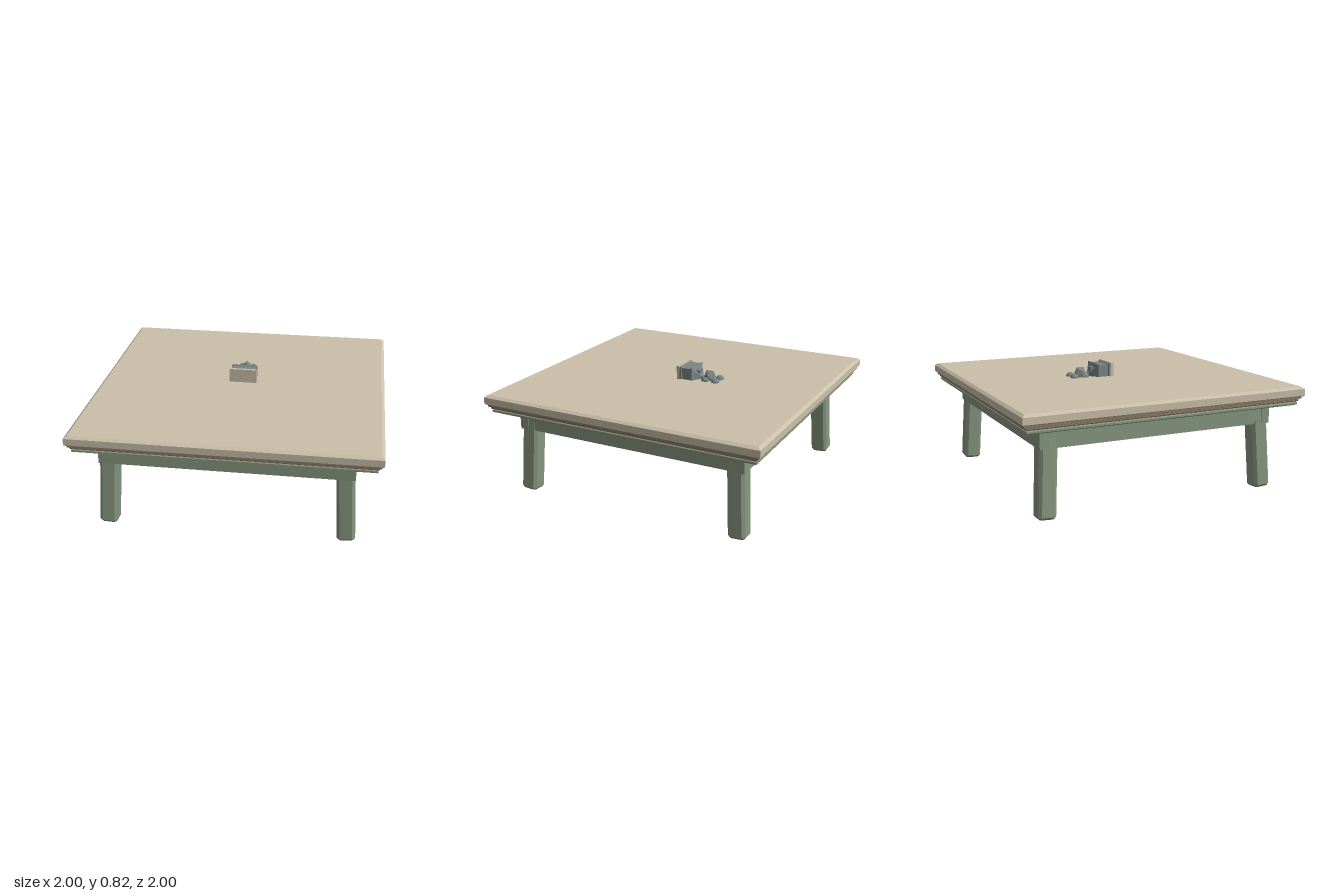
import * as THREE from 'three';

const mat = (name, color) => {
  const m = new THREE.MeshStandardMaterial({ color });
  m.name = name;
  return m;
};

// Faceted normals for crisp low-poly faces
function flat(geometry) {
  const g = geometry.index ? geometry.toNonIndexed() : geometry;
  g.computeVertexNormals();
  return g;
}

function add(parent, name, geometry, material, x = 0, y = 0, z = 0) {
  const mesh = new THREE.Mesh(flat(geometry), material);
  mesh.name = name;
  mesh.position.set(x, y, z);
  parent.add(mesh);
  return mesh;
}

// Square stack following a [half width, height] profile from bottom to top
function squareStack(profile) {
  const points = profile.map(([h, y]) => new THREE.Vector2(h * Math.SQRT2, y));
  return new THREE.LatheGeometry(points, 4, Math.PI / 4);
}

// Square leg with chamfered long edges and ends, standing on y = 0
function legGeometry(half, height) {
  const b = 0.012, h = half - b, c = h - 0.012;
  const shape = new THREE.Shape([
    [c, -h], [h, -c], [h, c], [c, h], [-c, h], [-h, c], [-h, -c], [-c, -h],
  ].map(([x, y]) => new THREE.Vector2(x, y)));
  const g = new THREE.ExtrudeGeometry(shape, {
    depth: height - 0.03, bevelEnabled: true, bevelThickness: 0.015, bevelSize: b, bevelSegments: 1,
  });
  g.translate(0, 0, 0.015);
  g.rotateX(-Math.PI / 2);
  return g;
}

export function createModel() {
  const model = new THREE.Group();
  model.name = 'table';
  const tan = mat('pale wood', 0xcabfa9);
  const brown = mat('brown moulding', 0x8c7c66);
  const green = mat('sage paint', 0x87977f);
  const grey = mat('grey metal', 0x7b8585);

  // Tabletop: chamfered slab, brown moulding, painted underboard
  add(model, 'tabletop', squareStack([
    [0, 0.652], [0.99, 0.652], [1, 0.66], [1, 0.705], [0.98, 0.72], [0, 0.72],
  ]), tan);
  add(model, 'moulding', squareStack([
    [0, 0.618], [0.965, 0.618], [0.972, 0.624], [0.972, 0.634], [0.985, 0.638], [0.985, 0.652], [0, 0.652],
  ]), brown);
  add(model, 'underboard', squareStack([
    [0, 0.59], [0.95, 0.59], [0.965, 0.598], [0.965, 0.61], [0.955, 0.618], [0, 0.618],
  ]), green);

  // Apron: full-width front and back rails, side rails set between them
  for (const s of [1, -1]) {
    add(model, s > 0 ? 'frontApron' : 'backApron', new THREE.BoxGeometry(1.67, 0.135, 0.06), green, 0, 0.5225, s * 0.805);
    add(model, s > 0 ? 'leftApron' : 'rightApron', new THREE.BoxGeometry(0.055, 0.135, 1.55), green, s * 0.8, 0.5225, 0);
  }

  // Splayed legs
  const tilt = 0.055;
  for (const sx of [1, -1]) {
    for (const sz of [1, -1]) {
      const leg = add(model, 'leg', legGeometry(0.06, 0.6), green, sx * 0.796, 0.006, sz * 0.796);
      leg.rotation.set(-sz * tilt, 0, sx * tilt);
    }
  }

  // Small trophy lying on its back, half sunk into the tabletop
  const trophy = new THREE.Group();
  trophy.name = 'trophy';
  trophy.position.set(0, 0.72, 0.012);
  trophy.rotation.x = -Math.PI / 2;
  model.add(trophy);
  add(trophy, 'trophyFootPlate', new THREE.BoxGeometry(0.194, 0.02, 0.194), tan, 0, 0.01, 0);
  add(trophy, 'trophyPlinth', squareStack([
    [0, 0.02], [0.09, 0.02], [0.09, 0.03], [0.082, 0.036], [0.082, 0.098],
    [0.089, 0.102], [0.089, 0.112], [0.06, 0.125], [0.022, 0.155], [0.016, 0.185], [0, 0.185],
  ]), grey);
  add(trophy, 'trophyCollar', new THREE.BoxGeometry(0.06, 0.03, 0.13), grey, 0, 0.13, 0);

  // Faceted figure with side lobes and two round tips
  const body = add(trophy, 'trophyBody', new THREE.IcosahedronGeometry(0.06, 0), grey, 0, 0.215, 0);
  body.scale.set(0.85, 0.85, 1.3);
  for (const s of [1, -1]) {
    const lobe = add(trophy, 'trophyLobe', new THREE.IcosahedronGeometry(0.032, 0), grey, s * 0.047, 0.198, 0);
    lobe.scale.x = 0.75;
    add(trophy, 'trophyTip', new THREE.IcosahedronGeometry(0.03, 1), grey, s * 0.04, 0.275, 0);
  }
  return model;
}
